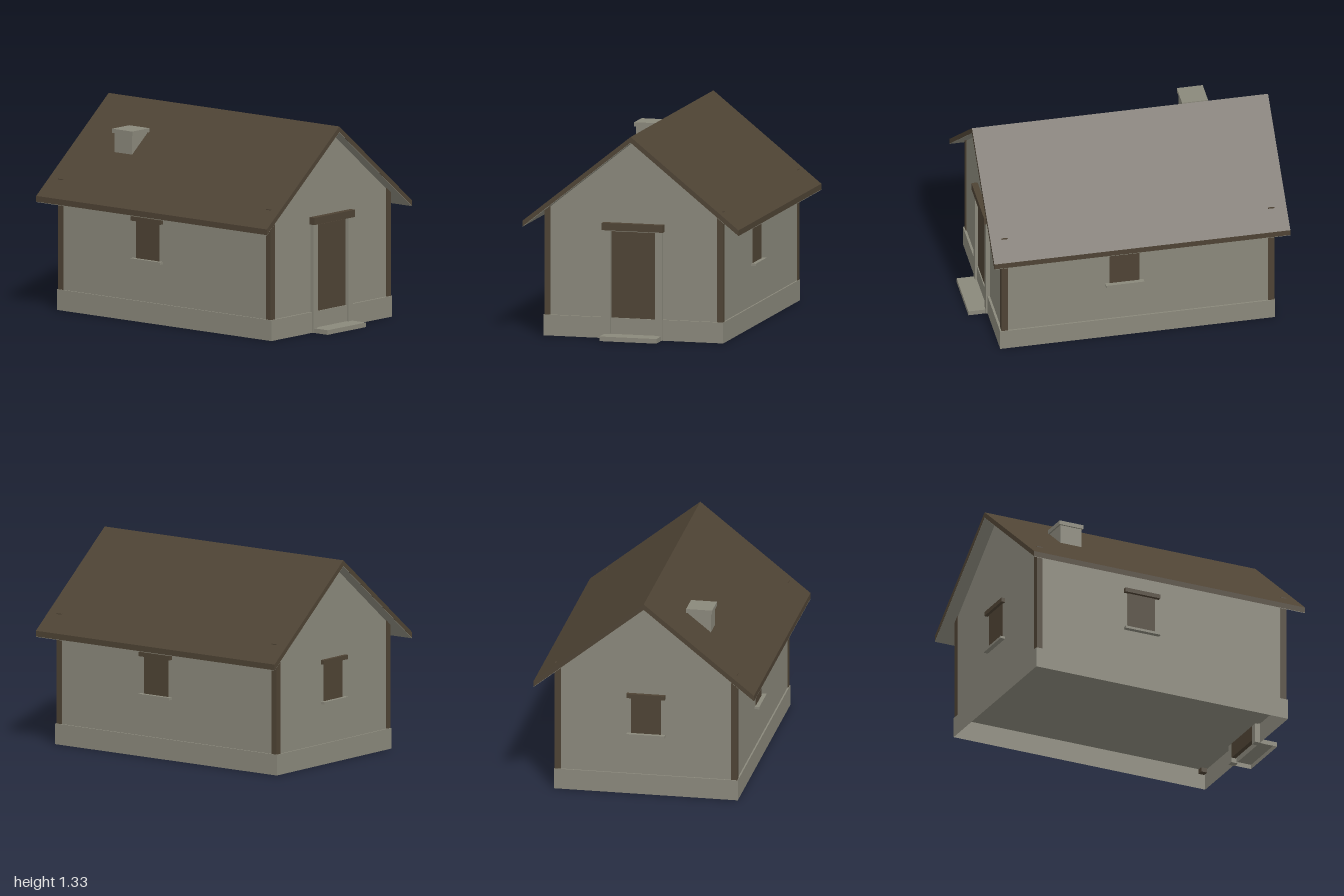
import * as THREE from 'three';

const stone = new THREE.MeshStandardMaterial({ color: 0x8a887b, side: THREE.DoubleSide });
stone.name = 'stone';
const timber = new THREE.MeshStandardMaterial({ color: 0x4e4334 });
timber.name = 'dark timber';

function add(parent, name, geometry, material) {
  const mesh = new THREE.Mesh(geometry, material);
  mesh.name = name;
  parent.add(mesh);
  return mesh;
}

// Box given by its extents on each axis
function box(parent, name, material, [x0, x1], [y0, y1], [z0, z1], open = false) {
  const g = new THREE.BoxGeometry(x1 - x0, y1 - y0, z1 - z0);
  if (open) {
    // Drop the bottom face to leave a hollow shell
    const bottom = g.groups[3];
    const index = Array.from(g.index.array);
    index.splice(bottom.start, bottom.count);
    g.setIndex(index);
    g.clearGroups();
  }
  g.translate((x0 + x1) / 2, (y0 + y1) / 2, (z0 + z1) / 2);
  return add(parent, name, g, material);
}

// Outline in x and y drawn out along z
function prism(parent, name, material, points, z0, z1) {
  const shape = new THREE.Shape(points.map(([x, y]) => new THREE.Vector2(x, y)));
  const g = new THREE.ExtrudeGeometry(shape, { depth: z1 - z0, bevelEnabled: false });
  g.translate(0, 0, z0);
  return add(parent, name, g, material);
}

// Window with its wall plane at local z = 0
function makeWindow(name) {
  const w = new THREE.Group();
  w.name = name;
  box(w, 'windowPanel', timber, [-0.097, 0.097], [0.405, 0.66], [-0.02, 0.004]);
  box(w, 'windowLintel', timber, [-0.125, 0.125], [0.655, 0.683], [-0.02, 0.025]);
  box(w, 'windowSill', stone, [-0.125, 0.125], [0.395, 0.411], [-0.02, 0.031]);
  return w;
}

export function createModel() {
  const house = new THREE.Group();
  house.name = 'cottage';

  // Hollow foundation and front step
  box(house, 'foundation', stone, [-0.6, 0.6], [0, 0.135], [-0.925, 0.875], true);
  box(house, 'frontStep', stone, [-0.19, 0.19], [0, 0.03], [0.875, 1], true);

  // Gabled walls
  prism(house, 'walls', stone,
    [[-0.59, 0.13], [0.59, 0.13], [0.59, 0.811], [0, 1.283], [-0.59, 0.811]], -0.915, 0.86);

  // Roof with a pale lining beneath
  const chevron = (top, thick) => [[-0.72, top - 0.575], [-0.72, top - 0.575 - thick], [0, top - thick],
    [0.72, top - 0.575 - thick], [0.72, top - 0.575], [0, top]];
  prism(house, 'roof', timber, chevron(1.325, 0.037), -1, 0.938);
  prism(house, 'roofLining', stone, chevron(1.288, 0.003), -0.999, 0.937);

  // Corner posts
  for (const s of [-1, 1]) {
    const x = s < 0 ? [-0.596, -0.555] : [0.555, 0.596];
    box(house, 'frontCornerPost', timber, x, [0.1, 0.855], [0.825, 0.866]);
    box(house, 'backCornerPost', timber, x, [0.1, 0.855], [-0.92, -0.88]);
  }

  // Doorway
  box(house, 'door', timber, [-0.146, 0.146], [0.03, 0.695], [0.84, 0.868]);
  box(house, 'leftDoorJamb', stone, [0.15, 0.195], [0, 0.706], [0.84, 0.887]);
  box(house, 'rightDoorJamb', stone, [-0.195, -0.15], [0, 0.706], [0.84, 0.887]);
  box(house, 'doorLintel', timber, [-0.203, 0.203], [0.705, 0.752], [0.84, 0.9]);

  // Windows on the sides and back
  const left = makeWindow('leftWindow');
  left.position.set(0.59, 0, 0.06);
  left.rotation.y = Math.PI / 2;
  const right = makeWindow('rightWindow');
  right.position.set(-0.59, 0, -0.17);
  right.rotation.y = -Math.PI / 2;
  const back = makeWindow('backWindow');
  back.position.set(0, 0, -0.915);
  back.rotation.y = Math.PI;
  house.add(left, right, back);

  // Chimney
  box(house, 'chimneyShaft', stone, [-0.37, -0.22], [0.96, 1.155], [-0.64, -0.49]);
  box(house, 'chimneyCap', stone, [-0.38, -0.21], [1.155, 1.182], [-0.65, -0.48]);

  return house;
}
